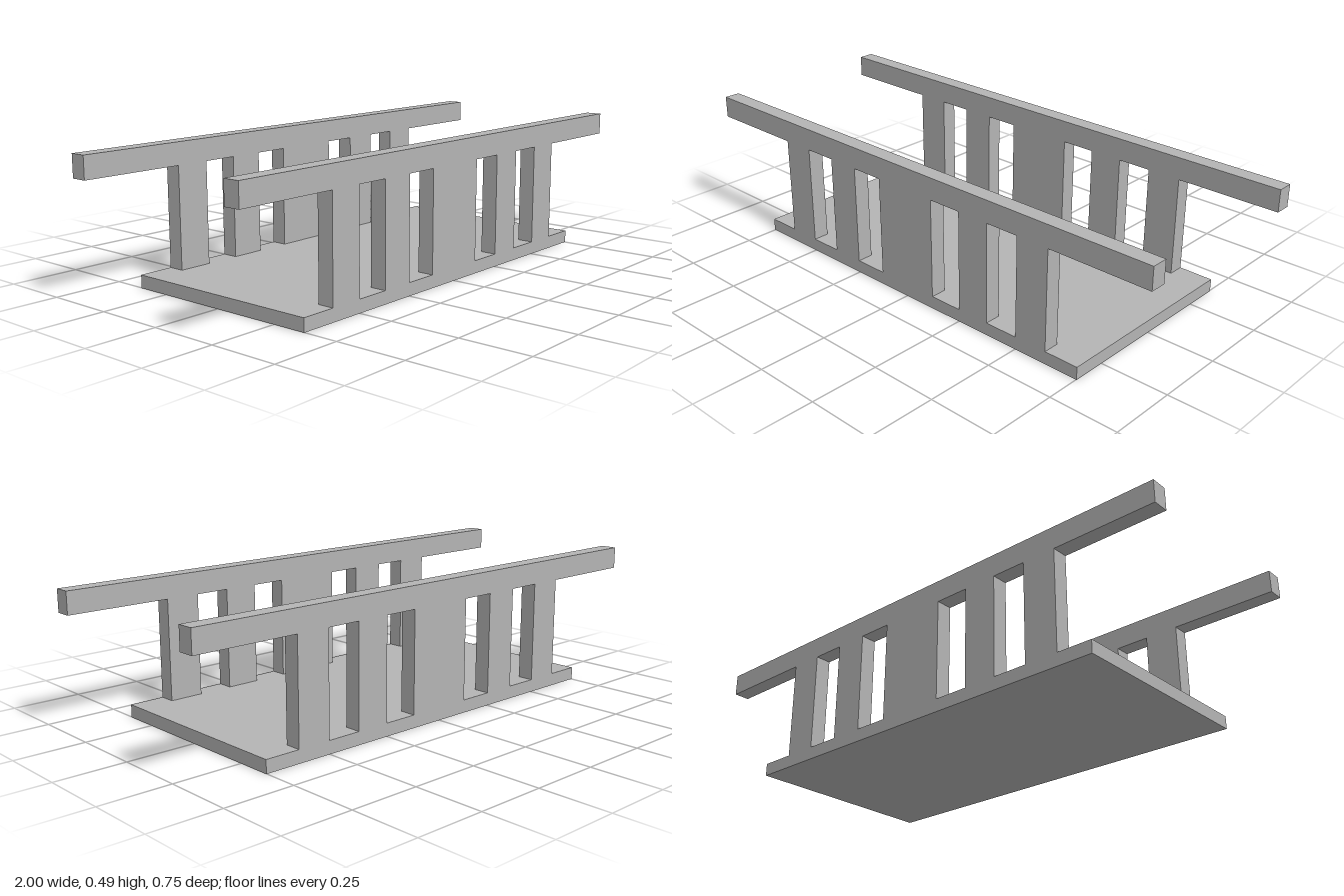
import * as THREE from 'three';

export function createModel() {
  const model = new THREE.Group();
  const grey = new THREE.MeshStandardMaterial({ color: 0xb4b4b4 });
  grey.name = 'plain grey';

  const yBase = 0.046, yRail = 0.408, yTop = 0.488;
  const depth = 0.75, thick = 0.059;

  // Box from its x centre, bottom, top and z centre
  function box(parent, name, x, y0, y1, z, w, d) {
    const mesh = new THREE.Mesh(new THREE.BoxGeometry(w, y1 - y0, d), grey);
    mesh.position.set(x, (y0 + y1) / 2, z);
    mesh.name = name;
    parent.add(mesh);
  }

  // Floor plate
  box(model, 'basePlate', 0, 0, yBase, 0, 1.504, depth);

  // Two matching side frames, each with a long rail on five posts
  for (const side of [1, -1]) {
    const frame = new THREE.Group();
    frame.name = side > 0 ? 'frontFrame' : 'backFrame';
    frame.position.z = side * (depth - thick) / 2;
    box(frame, 'topRail', 0, yRail, yTop, 0, 2, thick);
    box(frame, 'centrePanel', 0, yBase, yRail, 0, 0.25, thick);
    for (const x of [-0.5625, -0.3135, 0.3135, 0.5625]) {
      box(frame, 'post', x, yBase, yRail, 0, 0.124, thick);
    }
    model.add(frame);
  }
  return model;
}
